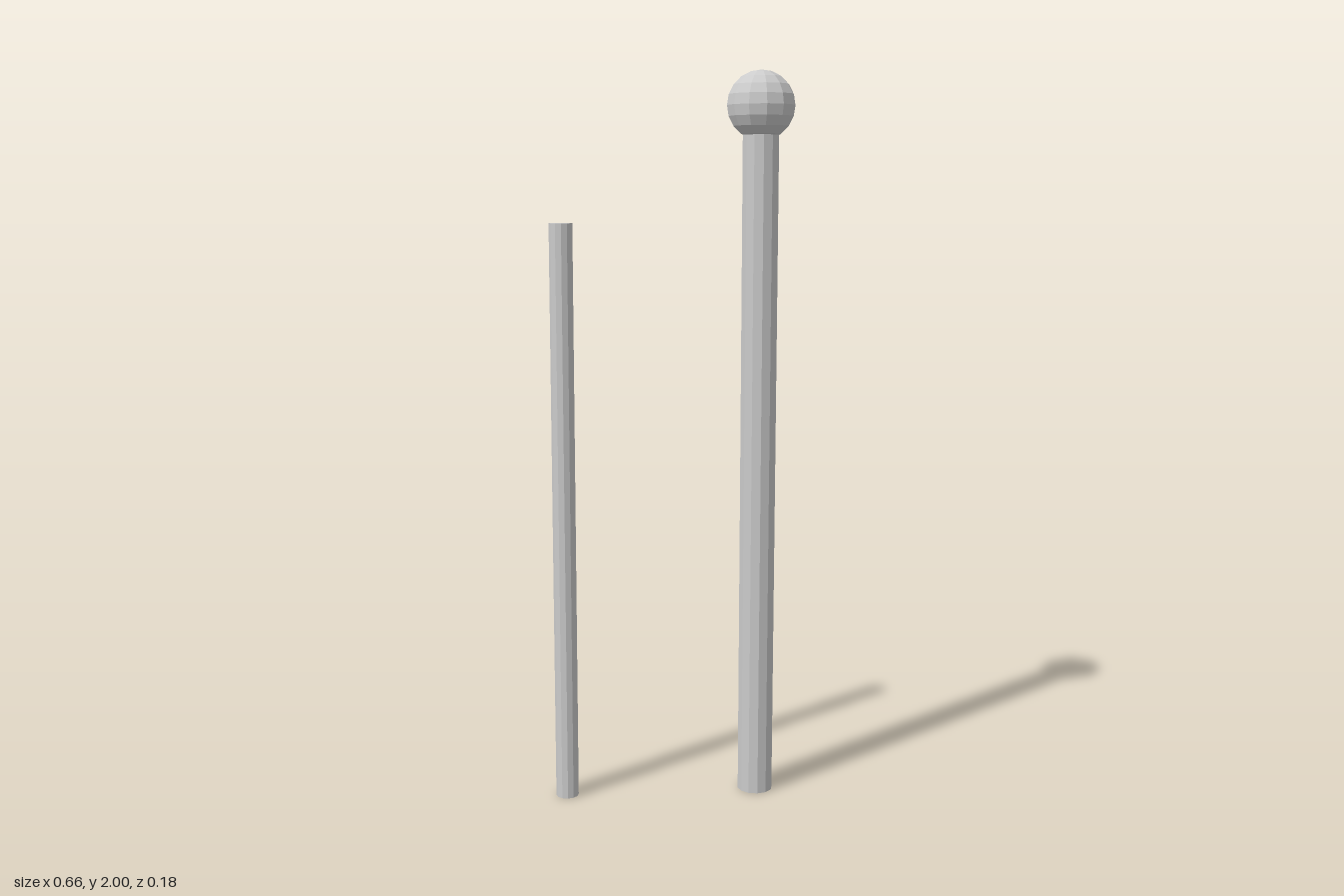
import * as THREE from 'three';

export function createModel() {
  const model = new THREE.Group();
  const material = new THREE.MeshStandardMaterial({ color: 0xcccccc, flatShading: true });

  const add = (name, geometry, x, y, z) => {
    const mesh = new THREE.Mesh(geometry, material);
    mesh.name = name;
    mesh.position.set(x, y, z);
    model.add(mesh);
  };
  // Upright twelve-sided rod standing on the ground
  const addRod = (name, radius, height, x, z) =>
    add(name, new THREE.CylinderGeometry(radius, radius, height, 12), x, height / 2, z);

  // Thick post topped by a faceted ball
  addRod('post', 0.049, 1.835, 0.236, -0.001);
  add('ballFinial', new THREE.SphereGeometry(0.092, 12, 10), 0.236, 1.908, -0.001);

  // Thin separate rod
  addRod('thinRod', 0.0315, 1.6, -0.299, -0.006);

  return model;
}
